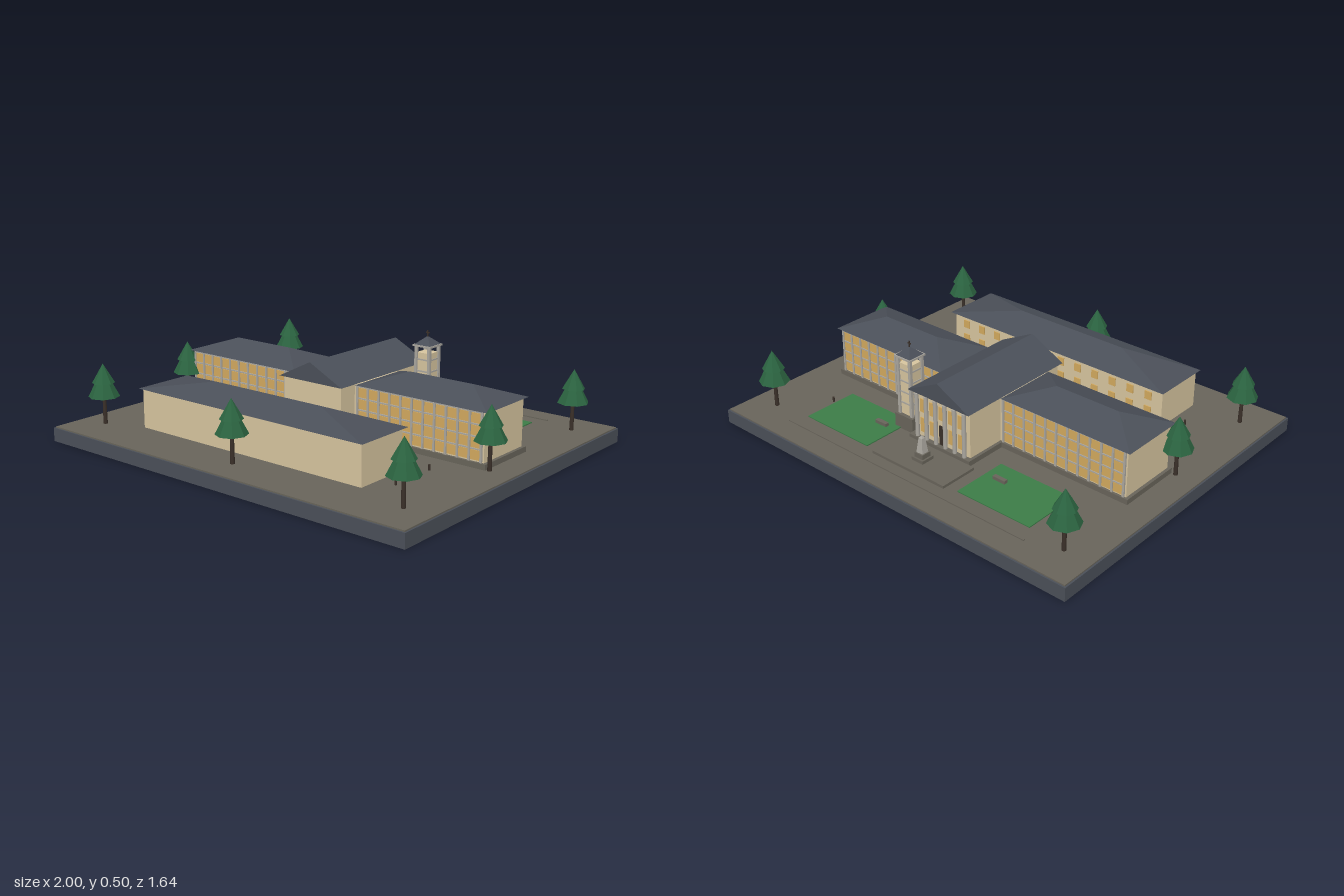
import * as THREE from 'three';

const mat = (name, color) => {
  const m = new THREE.MeshStandardMaterial({ color });
  m.name = name;
  return m;
};

export function createModel() {
  const root = new THREE.Group();
  root.name = 'campus';

  const slate = mat('slate', 0x4a4f58);
  const paving = mat('paving', 0x68645a);
  const cream = mat('cream wall', 0xd6c49e);
  const glass = mat('warm glass', 0xd2a95e);
  const trim = mat('pale stone', 0xaaa69e);
  const grass = mat('lawn green', 0x3c7c47);
  const leaf = mat('pine green', 0x2b6340);
  const bark = mat('dark bark', 0x3a3029);

  const add = (name, geo, material, x = 0, y = 0, z = 0, parent = root) => {
    const m = new THREE.Mesh(geo, material);
    m.name = name;
    m.position.set(x, y, z);
    parent.add(m);
    return m;
  };
  // Box given by its centre in plan and its bottom and top heights
  const block = (name, material, x, z, w, d, y0, y1, parent = root) =>
    add(name, new THREE.BoxGeometry(w, y1 - y0, d), material, x, (y0 + y1) / 2, z, parent);
  // Roof: a box whose top is drawn in to a ridge of size rx by rz
  const roof = (name, x, z, w, d, y0, y1, rx, rz, parent = root, material = slate) => {
    const geo = new THREE.BoxGeometry(w, y1 - y0, d).toNonIndexed();
    const p = geo.attributes.position;
    for (let i = 0; i < p.count; i++) {
      if (p.getY(i) > 0) {
        p.setX(i, Math.sign(p.getX(i)) * rx / 2);
        p.setZ(i, Math.sign(p.getZ(i)) * rz / 2);
      }
    }
    geo.computeVertexNormals();
    return add(name, geo, material, x, (y0 + y1) / 2, z, parent);
  };

  // Ground slab
  block('baseSlab', slate, 0, 0, 2, 1.64, 0, 0.064);
  block('pavement', paving, 0, 0, 1.985, 1.625, 0.062, 0.07);

  // Two long wings with glazed grids on both long sides
  for (const s of [-1, 1]) {
    const wing = new THREE.Group();
    wing.name = s > 0 ? 'leftWing' : 'rightWing';
    root.add(wing);
    block('wingPlinth', paving, s * 0.51, -0.08, 0.7, 0.32, 0.07, 0.095, wing);
    block('wingWalls', cream, s * 0.5, -0.08, 0.69, 0.296, 0.095, 0.315, wing);
    roof('wingRoof', s * 0.52, -0.08, 0.685, 0.325, 0.315, 0.375, 0.33, 0, wing);
    for (const side of [-1, 1]) {
      const z = -0.08 + side * 0.148;
      for (let c = 0; c < 11; c++) {
        const x = s * (0.213 + c * 0.059);
        for (let r = 0; r < 4; r++) {
          const y = 0.102 + r * 0.053;
          block('wingWindow', glass, x, z, 0.047, 0.008, y, y + 0.043, wing);
        }
      }
      for (let c = 0; c < 12; c++) {
        block('wingMullion', trim, s * (0.1835 + c * 0.059), z, 0.01, 0.016, 0.095, 0.312, wing);
      }
      for (let r = 0; r < 4; r++) {
        block('wingTransom', trim, s * 0.508, z, 0.65, 0.012, 0.147 + r * 0.053, 0.153 + r * 0.053, wing);
      }
    }
  }

  // Central hall with a gabled roof and a columned entrance at the back
  const hall = new THREE.Group();
  hall.name = 'centralHall';
  root.add(hall);
  block('hallPlinth', paving, 0, -0.135, 0.36, 0.63, 0.07, 0.095, hall);
  block('hallWalls', cream, 0, -0.13, 0.33, 0.59, 0.095, 0.32, hall);
  roof('hallRoof', 0, -0.135, 0.36, 0.63, 0.32, 0.41, 0, 0.63, hall);
  for (let i = 0; i < 6; i++) {
    add('entranceColumn', new THREE.CylinderGeometry(0.01, 0.01, 0.215, 12), trim,
      -0.14 + i * 0.056, 0.2025, -0.436, hall);
  }
  for (let i = 0; i < 5; i++) {
    const x = -0.112 + i * 0.056;
    block('entranceWindow', glass, x, -0.426, 0.028, 0.008, 0.22, 0.285, hall);
    block(i === 2 ? 'entranceDoor' : 'lowerEntranceWindow', i === 2 ? bark : glass,
      x, -0.426, 0.028, 0.008, i === 2 ? 0.095 : 0.12, 0.19, hall);
  }

  // Separate long building; its small windows face the courtyard
  const annex = new THREE.Group();
  annex.name = 'annex';
  root.add(annex);
  block('annexWalls', cream, 0, 0.468, 1.25, 0.264, 0.087, 0.272, annex);
  roof('annexRoof', 0, 0.465, 1.28, 0.3, 0.27, 0.33, 0.6, 0, annex);
  for (let c = 0; c < 12; c++) {
    for (const y of [0.13, 0.205]) {
      block('annexWindow', glass, -0.55 + c * 0.1, 0.335, 0.036, 0.009, y, y + 0.04, annex);
    }
  }

  // Bell tower with corner posts, bands and an open belfry
  const tower = new THREE.Group();
  tower.name = 'bellTower';
  tower.position.set(0.25, 0, -0.36);
  root.add(tower);
  block('towerBase', paving, 0, 0, 0.108, 0.108, 0.07, 0.14, tower);
  block('towerShaft', cream, 0, 0, 0.07, 0.07, 0.14, 0.395, tower);
  for (const x of [-1, 1]) for (const z of [-1, 1]) {
    block('cornerPost', trim, x * 0.036, z * 0.036, 0.014, 0.014, 0.14, 0.43, tower);
  }
  for (const y of [0.195, 0.25, 0.305, 0.36]) {
    block('towerBand', trim, 0, 0, 0.077, 0.077, y, y + 0.007, tower);
  }
  block('towerCornice', trim, 0, 0, 0.098, 0.098, 0.424, 0.432, tower);
  roof('towerRoof', 0, 0, 0.088, 0.088, 0.432, 0.47, 0, 0, tower);
  block('finialPost', bark, 0, 0, 0.005, 0.005, 0.462, 0.497, tower);
  block('finialBar', bark, 0, 0, 0.018, 0.005, 0.483, 0.488, tower);

  // Entrance terrace and monument
  block('terrace', paving, 0, -0.55, 0.425, 0.19, 0.07, 0.083);
  block('monumentStep', paving, 0, -0.55, 0.066, 0.066, 0.083, 0.098);
  block('monumentPedestal', paving, 0, -0.55, 0.048, 0.048, 0.098, 0.12);
  roof('monumentShaft', 0, -0.55, 0.036, 0.036, 0.12, 0.19, 0.02, 0.02, root, trim);
  roof('monumentTip', 0, -0.55, 0.02, 0.02, 0.19, 0.203, 0, 0, root, trim);

  // Lawns, benches, bollards and kerbs
  for (const s of [-1, 1]) {
    block('lawn', grass, s * 0.467, -0.485, 0.39, 0.275, 0.068, 0.075);
    block('bench', paving, s * 0.355, -0.45, 0.066, 0.02, 0.075, 0.09);
    for (const z of [-0.45, 0.22, 0.45]) {
      add('bollard', new THREE.CylinderGeometry(0.005, 0.005, 0.025, 8), bark, s * 0.68, 0.0825, z);
    }
  }
  block('kerb', paving, 0, -0.7, 1.4, 0.008, 0.07, 0.075);

  // Pine trees
  const leafMat = leaf;
  leafMat.flatShading = true;
  const trees = [[-0.855, -0.645], [0.855, -0.645], [-0.855, 0.635], [0.855, 0.635],
    [-0.88, 0.08], [0.875, 0.07], [0, 0.675]];
  for (const [x, z] of trees) {
    const tree = new THREE.Group();
    tree.name = 'pineTree';
    tree.position.set(x, 0, z);
    root.add(tree);
    add('trunk', new THREE.CylinderGeometry(0.008, 0.01, 0.16, 8), bark, 0, 0.15, 0, tree);
    add('lowerFoliage', new THREE.CylinderGeometry(0.028, 0.072, 0.085, 8), leafMat, 0, 0.2425, 0, tree);
    add('upperFoliage', new THREE.ConeGeometry(0.052, 0.09, 8), leafMat, 0, 0.31, 0, tree);
  }
  return root;
}
